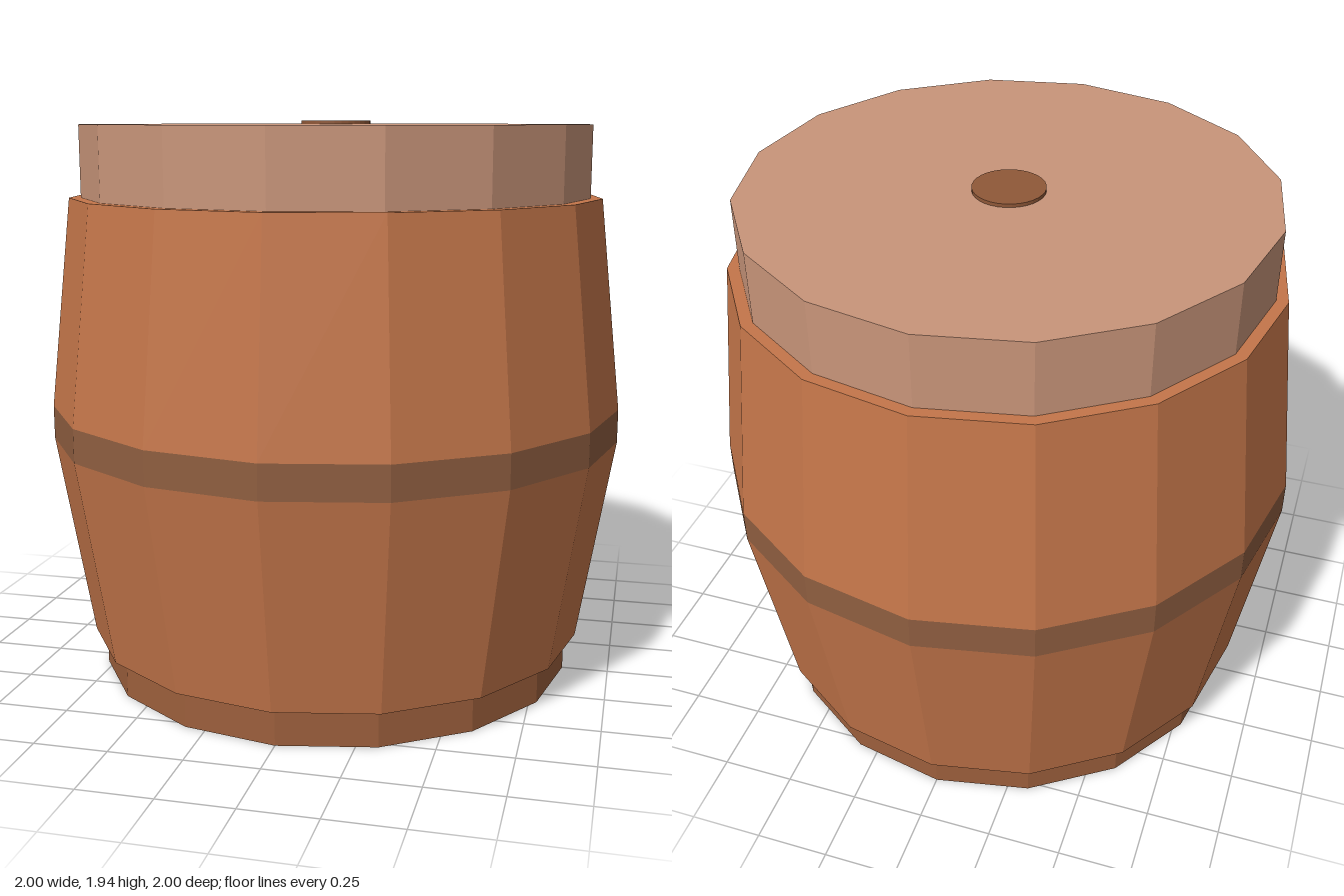
import * as THREE from 'three';

const SIDES = 16;

function material(color) {
  return new THREE.MeshStandardMaterial({ color, flatShading: true });
}

export function createModel() {
  const barrel = new THREE.Group();
  barrel.name = 'barrel';

  const wood = material(0xc4764a);
  const darkWood = material(0x9c5f3c);
  const hoopBrown = material(0x8f5e40);
  const paleWood = material(0xc9957a);
  const plugBrown = material(0x8f5838);

  // name, bottom y, top y, bottom radius, top radius, material, sides
  const parts = [
    ['base', 0, 0.13, 0.84, 0.84, darkWood, SIDES],
    ['lowerBody', 0.13, 0.845, 0.88, 1, wood, SIDES],
    ['middleHoop', 0.845, 0.96, 1, 1, hoopBrown, SIDES],
    ['upperBody', 0.96, 1.68, 1, 0.92, wood, SIDES],
    ['lid', 1.68, 1.925, 0.88, 0.88, paleWood, SIDES],
    ['plug', 1.925, 1.937, 0.12, 0.12, plugBrown, 32],
  ];

  // Stack the faceted sections from the ground up
  for (const [name, y0, y1, r0, r1, mat, sides] of parts) {
    const section = new THREE.Mesh(new THREE.CylinderGeometry(r1, r0, y1 - y0, sides), mat);
    section.name = name;
    section.position.y = (y0 + y1) / 2;
    barrel.add(section);
  }
  return barrel;
}
